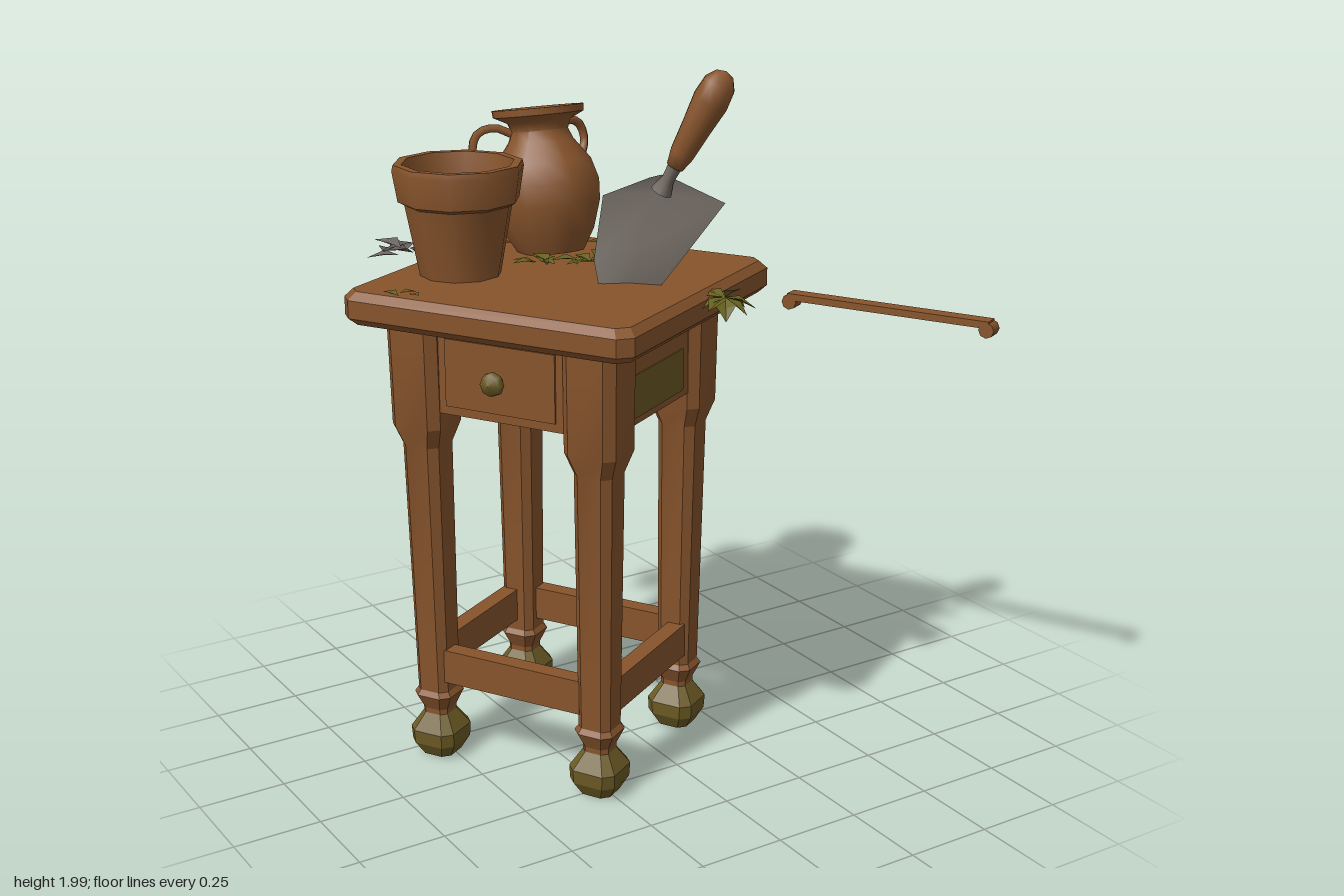
import * as THREE from 'three';
import { toCreasedNormals } from 'three/addons/utils/BufferGeometryUtils.js';

const V = (x, y, z) => new THREE.Vector3(x, y, z);
const vec2 = (list) => list.map(([r, y]) => new THREE.Vector2(r, y));

// Stack of chamfered squares: rings are [y, halfWidth, chamfer]
function loft(rings) {
  const pos = [], idx = [], n = 8;
  for (const [y, h, c] of rings) {
    const k = h - c;
    for (const [x, z] of [[h, -k], [h, k], [k, h], [-k, h], [-h, k], [-h, -k], [-k, -h], [k, -h]]) pos.push(x, y, z);
  }
  const last = (rings.length - 1) * n;
  for (let i = 0; i < rings.length - 1; i++) {
    for (let j = 0; j < n; j++) {
      const a = i * n + j, b = i * n + (j + 1) % n;
      idx.push(a, a + n, b, b, a + n, b + n);
    }
  }
  for (let j = 1; j < n - 1; j++) idx.push(0, j, j + 1, last, last + j + 1, last + j);
  const g = new THREE.BufferGeometry();
  g.setAttribute('position', new THREE.Float32BufferAttribute(pos, 3));
  g.setIndex(idx);
  return toCreasedNormals(g, 0.35);
}

export function createModel() {
  const model = new THREE.Group();
  model.name = 'gardenTable';
  const mat = (name, color, side = THREE.FrontSide) => {
    const m = new THREE.MeshStandardMaterial({ color, side });
    m.name = name;
    return m;
  };
  const wood = mat('brown', 0x87542c);
  const mossyWood = mat('mossyBrown', 0x6b5a24);
  const moss = mat('mossGreen', 0x666120, THREE.DoubleSide);
  const steel = mat('dullGrey', 0x6f6860, THREE.DoubleSide);
  const dryLeaf = mat('dryLeafGrey', 0x6b6462, THREE.DoubleSide);

  const add = (parent, name, geo, material, x = 0, y = 0, z = 0) => {
    const m = new THREE.Mesh(geo, material);
    m.name = name;
    m.position.set(x, y, z);
    parent.add(m);
    return m;
  };
  const group = (name, x, y, z, parent = model) => {
    const g = new THREE.Group();
    g.name = name;
    g.position.set(x, y, z);
    parent.add(g);
    return g;
  };

  // Table, turned thirty degrees
  const table = group('table', -0.185, 0, -0.095);
  table.rotation.y = Math.PI / 6;
  add(table, 'tableTop', loft([[1.31, 0.42, 0.03], [1.33, 0.44, 0.035], [1.38, 0.44, 0.035], [1.402, 0.42, 0.03]]),
    wood, 0.017, 0, 0.01);

  // Turned legs with mossy feet
  const legGeo = loft([[0.12, 0.04, 0.016], [0.145, 0.04, 0.016], [0.19, 0.06, 0.024], [0.205, 0.05, 0.02],
    [0.95, 0.058, 0.023], [1.01, 0.078, 0.026], [1.32, 0.08, 0.026]]);
  const footGeo = loft([[0, 0.048, 0.02], [0.04, 0.07, 0.026], [0.08, 0.072, 0.026], [0.13, 0.04, 0.016]]);
  for (const su of [-1, 1]) for (const sw of [-1, 1]) {
    const leg = group('leg', su * 0.24, 0, sw * 0.262, table);
    leg.rotation.set(sw * 0.009, 0, -su * 0.009);
    add(leg, 'legPost', legGeo, wood);
    add(leg, 'foot', footGeo, mossyWood);
  }

  // Aprons and stretchers on all four sides
  for (const s of [-1, 1]) {
    add(table, 'apron', new THREE.BoxGeometry(0.38, 0.26, 0.04), wood, 0, 1.19, s * 0.305);
    add(table, 'sideApron', new THREE.BoxGeometry(0.04, 0.26, 0.42), wood, s * 0.28, 1.19, 0);
    add(table, 'stretcher', new THREE.BoxGeometry(0.4, 0.1, 0.05), wood, 0, 0.288, s * 0.283);
    add(table, 'sideStretcher', new THREE.BoxGeometry(0.05, 0.1, 0.44), wood, s * 0.255, 0.288, 0);
  }
  add(table, 'mossStain', new THREE.BoxGeometry(0.31, 0.12, 0.006), mossyWood, -0.02, 1.14, 0.326);

  // Drawer front and knob
  add(table, 'drawerFront', new THREE.BoxGeometry(0.02, 0.19, 0.34), wood, -0.296, 1.18, 0);
  const knob = add(table, 'drawerKnob', new THREE.LatheGeometry(vec2([[0.013, 0], [0.013, 0.02], [0.034, 0.035],
    [0.03, 0.055], [0, 0.065]]), 8), mossyWood, -0.3, 1.18, 0);
  knob.rotation.z = Math.PI / 2;

  // Flower pot
  add(model, 'flowerPot', toCreasedNormals(new THREE.LatheGeometry(vec2([[0, 0], [0.113, 0], [0.15, 0.2], [0.168, 0.21],
    [0.182, 0.295], [0.178, 0.312], [0.155, 0.312], [0.148, 0.27], [0.108, 0.05], [0, 0.05]]), 10), 0.75),
  wood, -0.395, 1.4, -0.25);

  // Two-handled jug, leaning back a little
  const jug = group('jug', -0.045, 1.395, -0.355);
  jug.rotation.x = -0.17;
  add(jug, 'jugBody', toCreasedNormals(new THREE.LatheGeometry(vec2([[0, 0], [0.095, 0], [0.13, 0.06], [0.155, 0.14], [0.158, 0.2],
    [0.14, 0.26], [0.095, 0.32], [0.082, 0.35], [0.092, 0.375], [0.132, 0.395], [0.134, 0.415], [0.118, 0.415],
    [0.075, 0.37], [0.075, 0.32], [0.11, 0.2], [0, 0.1]]), 14), 0.85), wood);
  for (const s of [-1, 1]) {
    const path = new THREE.CatmullRomCurve3([V(0.08, 0.345, 0), V(0.13, 0.368, 0), V(0.18, 0.355, 0), V(0.198, 0.31, 0),
      V(0.178, 0.265, 0), V(0.13, 0.235, 0)]);
    const handle = add(jug, 'jugHandle', new THREE.TubeGeometry(path, 12, 0.013, 6), wood);
    handle.rotation.y = s > 0 ? 0.36 : Math.PI - 0.36;
  }

  // Trowel stuck in the table top
  const trowel = group('trowel', 0, 0, 0);
  const along = (mesh, a, b) => {
    mesh.position.copy(a);
    mesh.quaternion.setFromUnitVectors(V(0, 1, 0), b.clone().sub(a).normalize());
  };
  const grip = V(0.015, 1.73, 0.195), end = V(0.113, 1.985, 0.287);
  along(add(trowel, 'trowelHandle', new THREE.LatheGeometry(vec2([[0, 0], [0.024, 0], [0.034, 0.04], [0.041, 0.12],
    [0.05, 0.2], [0.045, 0.25], [0.026, 0.278], [0, 0.288]]), 10), wood), grip, end);
  along(add(trowel, 'trowelShank', new THREE.LatheGeometry(vec2([[0.03, 0], [0.017, 0.04], [0.02, 0.09]]), 8), steel),
    V(-0.008, 1.66, 0.165), grip);
  const blade = new THREE.BufferGeometry();
  blade.setAttribute('position', new THREE.Float32BufferAttribute([
    -0.025, 1.695, 0.135, -0.005, 1.705, 0.16, 0.02, 1.695, 0.19,
    -0.1, 1.635, 0.02, 0.005, 1.65, 0.145, 0.095, 1.645, 0.315,
    -0.13, 1.46, 0.02, -0.04, 1.5, 0.11, 0.04, 1.5, 0.22,
    -0.135, 1.39, 0.055, -0.06, 1.39, 0.09, -0.005, 1.39, 0.15], 3));
  const faces = [];
  for (let r = 0; r < 3; r++) for (let c = 0; c < 2; c++) {
    const a = r * 3 + c;
    faces.push(a, a + 3, a + 1, a + 1, a + 3, a + 4);
  }
  blade.setIndex(faces);
  blade.computeVertexNormals();
  add(trowel, 'trowelBlade', blade, steel);

  // Loose towel rail beside the table, with hooked ends
  const rail = group('looseRail', 0.59, 0, 0.4);
  rail.rotation.y = 0.48;
  add(rail, 'railBar', new THREE.BoxGeometry(0.045, 0.02, 0.6), wood, 0, 1.305, 0);
  for (const s of [-1, 1]) {
    const hook = add(rail, 'railEnd', new THREE.CylinderGeometry(0.022, 0.022, 0.045, 8), wood, 0, 1.29, s * 0.294);
    hook.rotation.z = Math.PI / 2;
  }

  // Folded pointed leaves
  let seed = 7;
  const rnd = (a, b) => {
    seed = (seed * 16807) % 2147483647;
    return a + (b - a) * seed / 2147483647;
  };
  const leafGeo = new THREE.BufferGeometry();
  leafGeo.setAttribute('position', new THREE.Float32BufferAttribute(
    [0, 0, 0, -0.3, 0.14, 0.45, 0, 0.04, 0.5, 0.3, 0.14, 0.45, 0, 0, 1], 3));
  leafGeo.setIndex([0, 1, 2, 1, 4, 2, 0, 2, 3, 2, 4, 3]);
  const leafFlat = toCreasedNormals(leafGeo, 0.1);
  const leaf = (parent, name, material, x, y, z, size, yaw, pitch) => {
    const m = add(parent, name, leafFlat, material, x, y, z);
    m.scale.setScalar(size);
    m.rotation.set(pitch, yaw, 0, 'YXZ');
  };

  // Green leaves strewn on the table: [x0, x1, z0, z1, count]
  const litter = group('greenLeaves', 0, 0, 0);
  for (const [x0, x1, z0, z1, count] of [[-0.18, 0.18, -0.23, -0.15, 24], [0.1, 0.18, -0.34, -0.18, 10],
    [-0.21, -0.17, -0.47, -0.4, 5], [-0.66, -0.62, -0.12, -0.09, 3]]) {
    const size = count < 4 ? 0.06 : 0.09;
    for (let i = 0; i < count; i++) {
      leaf(litter, 'greenLeaf', moss, rnd(x0, x1), rnd(1.404, 1.415), rnd(z0, z1), size * rnd(0.7, 1.1),
        rnd(0, 6.28), rnd(-0.15, 0.05));
    }
  }

  // Tuft growing over the front edge
  const tuft = group('edgeTuft', 0.11, 1.385, 0.3);
  for (let i = 0; i < 11; i++) leaf(tuft, 'tuftLeaf', moss, 0, 0, 0, rnd(0.07, 0.1), i * 0.571, rnd(-0.6, 0.7));

  // Grey dry leaves at the back edge
  const dry = group('dryLeaves', -0.44, 1.4, -0.525);
  for (let i = 0; i < 9; i++) {
    leaf(dry, 'dryLeaf', dryLeaf, rnd(-0.05, 0.05), rnd(0, 0.02), rnd(-0.03, 0.03), rnd(0.085, 0.12), i * 0.7, rnd(-0.25, 0.1));
  }
  return model;
}
